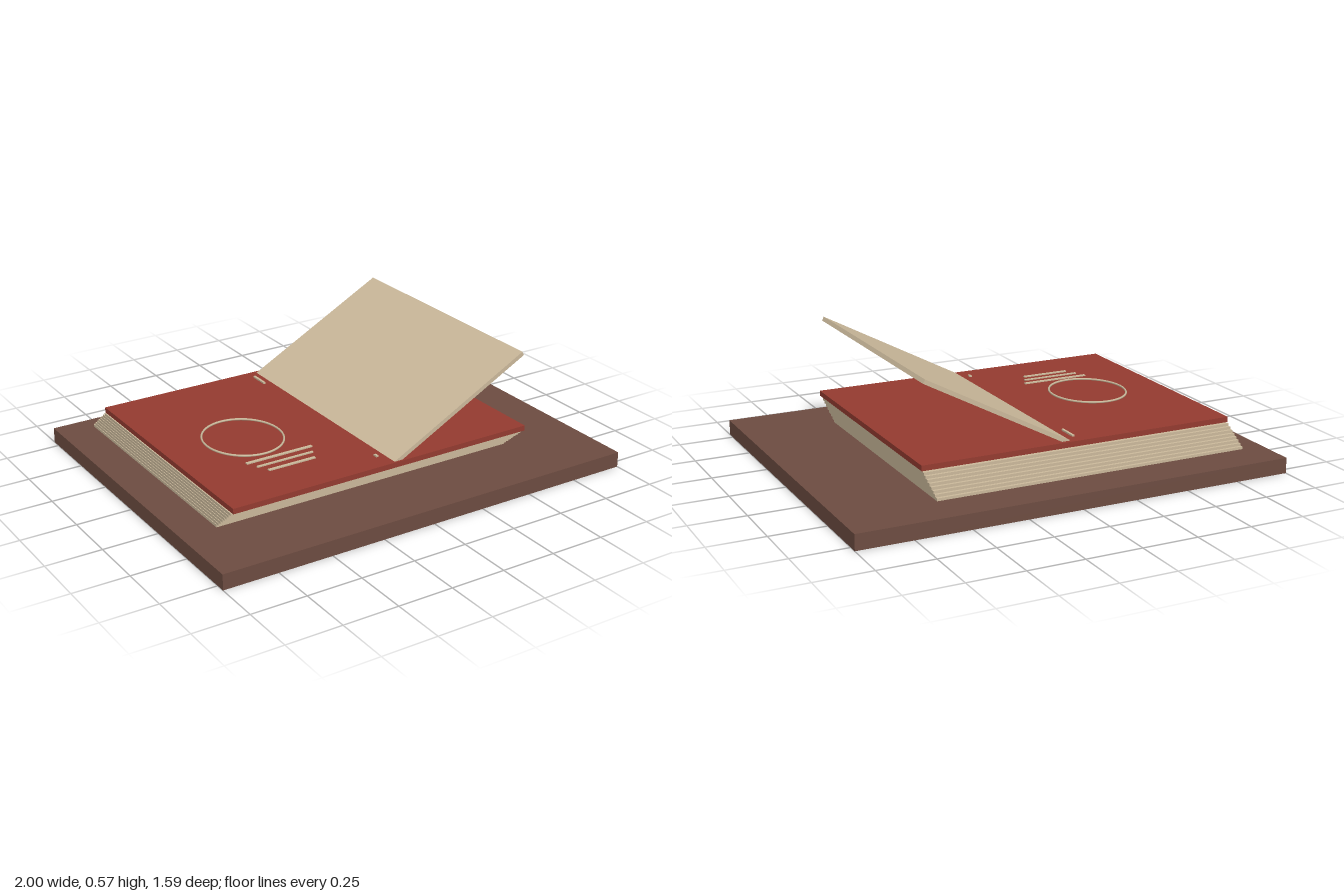
import * as THREE from 'three';

const wood = new THREE.MeshStandardMaterial({ color: 0x6d4c41 });
wood.name = 'brownWood';
const red = new THREE.MeshStandardMaterial({ color: 0x943b30 });
red.name = 'redCover';
const paper = new THREE.MeshStandardMaterial({ color: 0xcbb99b });
paper.name = 'beigePaper';

export function createModel() {
  const model = new THREE.Group();
  model.name = 'bookOnBoard';

  // Box given by its size and centre
  const box = (name, material, w, h, d, x, y, z) => {
    const mesh = new THREE.Mesh(new THREE.BoxGeometry(w, h, d), material);
    mesh.name = name;
    mesh.position.set(x, y, z);
    model.add(mesh);
    return mesh;
  };

  // Wooden board
  box('board', wood, 2, 0.07, 1.585, 0, 0.035, 0);

  // Skewed stack of pages, each one shifted a little forward and right
  const count = 8, thick = 0.0119;
  for (let i = 0; i < count; i++) {
    box('page' + (i + 1), paper, 1.455, thick, 1.152,
      -0.129 + i * 0.0026, 0.093 + (i + 0.5) * thick, -0.09 + i * 0.0125);
  }

  // Cover and the raised leaf
  box('cover', red, 1.46, 0.024, 1.166, -0.107, 0.205, 0.01);
  const leaf = box('raisedLeaf', paper, 0.748, 0.019, 1.142, 0.27, 0.383, 0.014);
  leaf.rotation.z = THREE.MathUtils.degToRad(28);

  // Oval ring on the cover
  const ringGeometry = new THREE.TorusGeometry(0.19, 0.005, 6, 48);
  ringGeometry.rotateX(Math.PI / 2).scale(0.91, 1, 1.01);
  const ring = new THREE.Mesh(ringGeometry, paper);
  ring.name = 'ovalRing';
  ring.position.set(-0.478, 0.221, 0.04);
  model.add(ring);

  // Title bars below the ring: width, depth, x, z
  [[0.32, 0.015, -0.434, 0.272], [0.272, 0.011, -0.436, 0.323], [0.225, 0.014, -0.434, 0.374]]
    .forEach(([w, d, x, z], i) => box('titleBar' + (i + 1), paper, w, 0.006, d, x, 0.219, z));

  // Small strokes beside the hinge
  box('hingeStrokeBack', paper, 0.011, 0.008, 0.096, -0.098, 0.22, -0.468);
  box('hingeStrokeFront', paper, 0.011, 0.008, 0.02, -0.098, 0.22, 0.5);

  return model;
}
